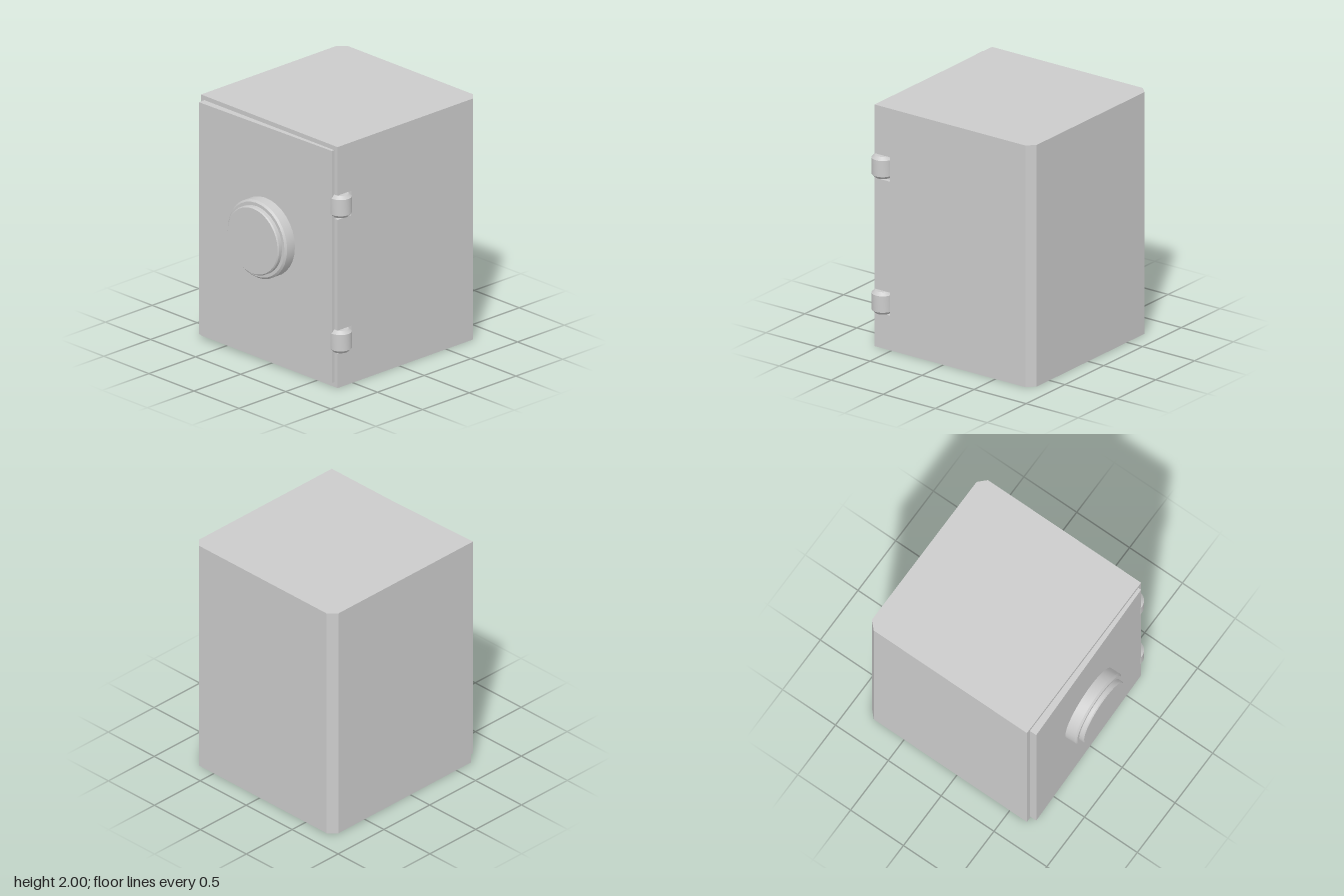
import * as THREE from 'three';
import { toCreasedNormals } from 'three/addons/utils/BufferGeometryUtils.js';

const grey = new THREE.MeshStandardMaterial({ color: 0xcccccc });

function addMesh(parent, name, geometry) {
  const mesh = new THREE.Mesh(geometry, grey);
  mesh.name = name;
  parent.add(mesh);
  return mesh;
}

// Footprint of the cabinet given as [x, z], raised from y0 to y1
function slab(points, y0, y1) {
  const shape = new THREE.Shape(points.map(([x, z]) => new THREE.Vector2(x, -z)));
  const geometry = new THREE.ExtrudeGeometry(shape, { depth: y1 - y0, bevelEnabled: false });
  return geometry.rotateX(-Math.PI / 2).translate(0, y0, 0);
}

// Solid of revolution about y with crisp edges; profile is [radius, y]
function turned(profile, segments) {
  const points = profile.map(([r, y]) => new THREE.Vector2(r, y));
  return toCreasedNormals(new THREE.LatheGeometry(points, segments), 0.5);
}

export function createModel() {
  const model = new THREE.Group();
  model.name = 'safe';

  // Cabinet: chamfered back corners, with notches beside the hinges
  const L = -0.79, R = 0.725, F = 0.662, B = -0.85, c = 0.063;
  const back = [[R, B + c], [R - c, B], [L + c, B], [L, B + c], [L, F]];
  const full = [[R, F], ...back];
  const notched = [[0.69, F], [0.69, 0.515], [R, 0.515], ...back];
  const cabinet = new THREE.Group();
  cabinet.name = 'cabinet';
  model.add(cabinet);
  const levels = [0, 0.287, 0.477, 1.395, 1.597, 2];
  for (let i = 0; i < levels.length - 1; i++) {
    addMesh(cabinet, 'cabinetSection', slab(i % 2 ? notched : full, levels[i], levels[i + 1]));
  }

  // Hinge barrels with chamfered ends
  for (const [y0, y1] of [[0.289, 0.475], [1.411, 1.595]]) {
    const r = 0.088, e = 0.025;
    const barrel = addMesh(model, 'hinge', turned(
      [[0, y0], [r - e, y0], [r, y0 + e], [r, y1 - e], [r - e, y1], [0, y1]], 24));
    barrel.position.set(0.697, 0, 0.603);
  }

  // Door, standing slightly ajar about its hinge side
  const door = new THREE.Group();
  door.name = 'door';
  door.position.set(0.689, 0, 0.688);
  door.rotation.y = 0.024;
  model.add(door);
  addMesh(door, 'doorPanel', new THREE.BoxGeometry(1.44, 1.925, 0.09).translate(-0.72, 1.002, -0.045));

  // Dial: wide base ring and a smaller raised knob
  const dial = new THREE.Group();
  dial.name = 'dial';
  dial.position.set(-0.72, 1.055, 0);
  dial.rotation.x = Math.PI / 2;
  door.add(dial);
  addMesh(dial, 'dialBase', turned(
    [[0, -0.01], [0.32, -0.01], [0.32, 0.085], [0.305, 0.1], [0, 0.1]], 32));
  addMesh(dial, 'dialKnob', turned(
    [[0, 0.09], [0.279, 0.09], [0.279, 0.131], [0.27, 0.14], [0, 0.14]], 32));

  return model;
}
